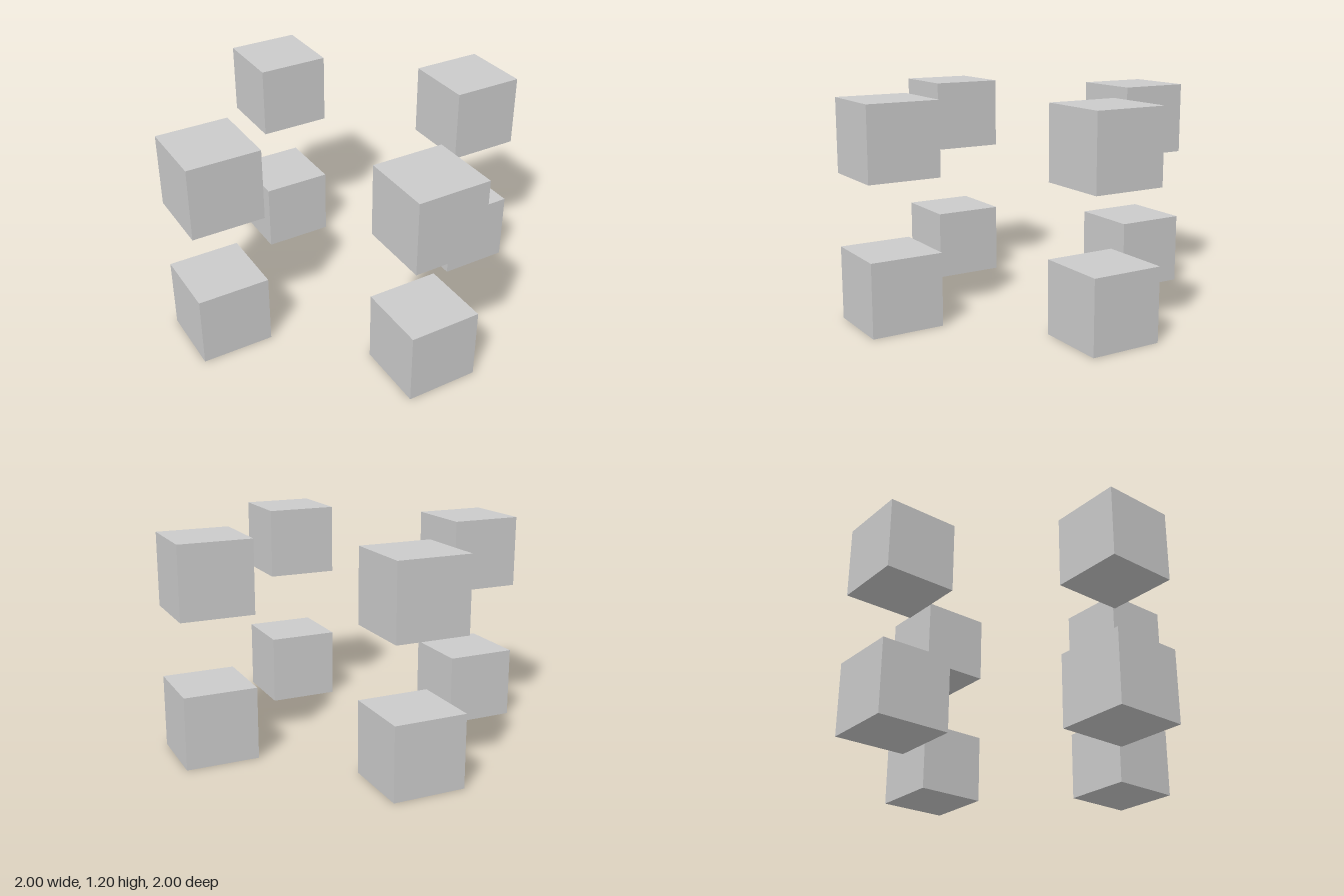
import * as THREE from 'three';

// Eight separate cubes: a ring of four on each of two levels
export function createModel() {
  const model = new THREE.Group();
  model.name = 'cubeRings';

  const size = 0.4;
  const radius = 0.8;
  const geometry = new THREE.BoxGeometry(size, size, size);
  const material = new THREE.MeshStandardMaterial({ color: 0xcccccc, flatShading: true });

  const levels = { lower: 0.2, upper: 1.0 };
  const sides = { Left: [1, 0], Right: [-1, 0], Front: [0, 1], Back: [0, -1] };

  for (const [level, y] of Object.entries(levels)) {
    const ring = new THREE.Group();
    ring.name = `${level}Ring`;
    for (const [side, [x, z]] of Object.entries(sides)) {
      const cube = new THREE.Mesh(geometry, material);
      cube.name = `${level}${side}Cube`;
      cube.position.set(x * radius, y, z * radius);
      ring.add(cube);
    }
    model.add(ring);
  }
  return model;
}
